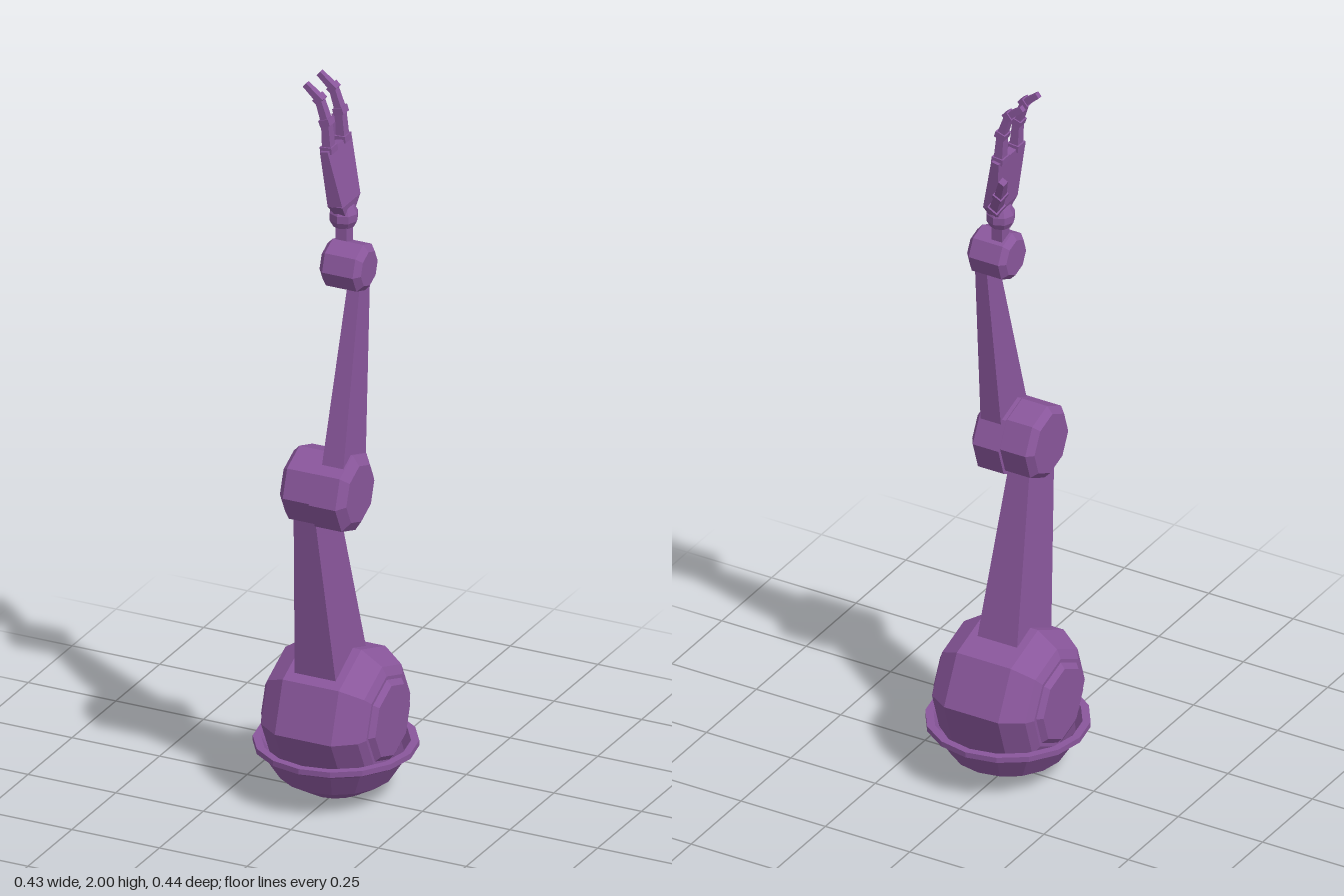
import * as THREE from 'three';

const purple = new THREE.MeshStandardMaterial({ color: 0x89569b, flatShading: true });
purple.name = 'purple';
const V = (x, y, z) => new THREE.Vector3(x, y, z);

export function createModel() {
  const root = new THREE.Group();
  root.name = 'roboticArm';

  function add(name, geometry, parent = root) {
    const mesh = new THREE.Mesh(geometry, purple);
    mesh.name = name;
    parent.add(mesh);
    return mesh;
  }

  // Tapered box from a to b; sizes are [thickness, width along side]
  function bar(name, a, b, s0, s1, parent = root) {
    const dir = b.clone().sub(a);
    const length = dir.length();
    dir.normalize();
    const across = dir.clone().cross(V(0, 0, 1)).normalize();
    const side = across.clone().cross(dir);
    const g = new THREE.BoxGeometry(1, 1, 1);
    const p = g.attributes.position;
    for (let i = 0; i < p.count; i++) {
      const s = p.getY(i) < 0 ? s0 : s1;
      p.setXYZ(i, p.getX(i) * s[0], (p.getY(i) + 0.5) * length, p.getZ(i) * s[1]);
    }
    g.applyMatrix4(new THREE.Matrix4().makeBasis(across, dir, side).setPosition(a));
    return add(name, g, parent);
  }

  // Eight-sided hub turned around the x axis; profile is [radius, x]
  function hub(name, profile, y, z) {
    const g = new THREE.LatheGeometry(profile.map(q => new THREE.Vector2(...q)), 8);
    g.rotateY(0.07);
    g.rotateZ(-Math.PI / 2);
    add(name, g).position.set(0, y, z);
  }

  // Hollow base bowl with a thin rim
  const bowl = [[0, 0], [0.08, 0.018], [0.15, 0.06], [0.192, 0.125], [0.213, 0.137],
    [0.213, 0.152], [0.192, 0.152], [0.175, 0.12], [0.13, 0.07], [0, 0.03]];
  add('baseBowl', new THREE.LatheGeometry(bowl.map(q => new THREE.Vector2(...q)), 16))
    .position.z = -0.007;

  // Shoulder drum with raised end plates
  hub('shoulder', [[0, -0.163], [0.1, -0.163], [0.115, -0.15], [0.125, -0.15], [0.15, -0.138],
    [0.188, -0.08], [0.188, 0.08], [0.15, 0.138], [0.125, 0.15], [0.115, 0.15],
    [0.1, 0.163], [0, 0.163]], 0.235, -0.005);
  bar('upperArm', V(0, 0.3, 0.01), V(-0.003, 0.88, 0.111), [0.127, 0.184], [0.058, 0.122]);

  // Elbow: two hubs side by side
  hub('elbowInner', [[0, -0.057], [0.085, -0.057], [0.103, -0.04], [0.103, 0.036], [0, 0.036]], 0.915, 0.114);
  hub('elbowOuter', [[0, 0.034], [0.108, 0.034], [0.108, 0.11], [0.08, 0.128], [0, 0.128]], 0.912, 0.11);
  bar('forearm', V(0.075, 0.93, 0.108), V(0.075, 1.5, 0.005), [0.064, 0.138], [0.032, 0.052]);

  // Wrist hub, neck and ball
  hub('wristHub', [[0, -0.01], [0.05, -0.01], [0.066, 0.005], [0.066, 0.092], [0.048, 0.107], [0, 0.107]], 1.502, 0.017);
  bar('wristNeck', V(0.03, 1.53, 0.005), V(0.025, 1.66, -0.002), [0.032, 0.036], [0.032, 0.036]);
  const ball = [[0, -0.032], [0.028, -0.028], [0.038, -0.01], [0.038, 0.01], [0.028, 0.028], [0, 0.032]];
  add('wristBall', new THREE.LatheGeometry(ball.map(q => new THREE.Vector2(...q)), 8))
    .position.set(0.024, 1.628, -0.003);

  // Palm leaning towards the finger side
  const hand = new THREE.Group();
  hand.name = 'hand';
  root.add(hand);
  bar('heel', V(0.028, 1.64, -0.003), V(0.025, 1.67, -0.003), [0.03, 0.06], [0.042, 0.103], hand);
  bar('palm', V(0.025, 1.67, -0.003), V(0, 1.825, -0.005), [0.042, 0.103], [0.022, 0.136], hand);

  // Jointed digit through a list of points, w is its width
  function digit(name, points, w) {
    const group = new THREE.Group();
    group.name = name;
    hand.add(group);
    for (let i = 0; i + 1 < points.length; i++) {
      const a = points[i], b = points[i + 1];
      const k = w * (1 - 0.13 * i);
      const last = i + 2 === points.length;
      bar('segment', a, b, [k * 0.75, k * 0.85], [k * 0.62, k * (last ? 0.6 : 0.75)], group);
      const step = b.clone().sub(a).setLength(0.009);
      bar('joint', a.clone().sub(step), a.clone().add(step), [k, k * 1.1], [k, k * 1.1], group);
    }
  }
  for (const z of [0.034, -0.045]) {
    digit('finger', [V(0, 1.825, z), V(-0.006, 1.9, z), V(-0.026, 1.96, z), V(-0.066, 1.993, z)], 0.033);
  }
  digit('thumb', [V(0.005, 1.685, -0.058), V(-0.035, 1.757, -0.105), V(-0.072, 1.832, -0.153)], 0.033);

  return root;
}
